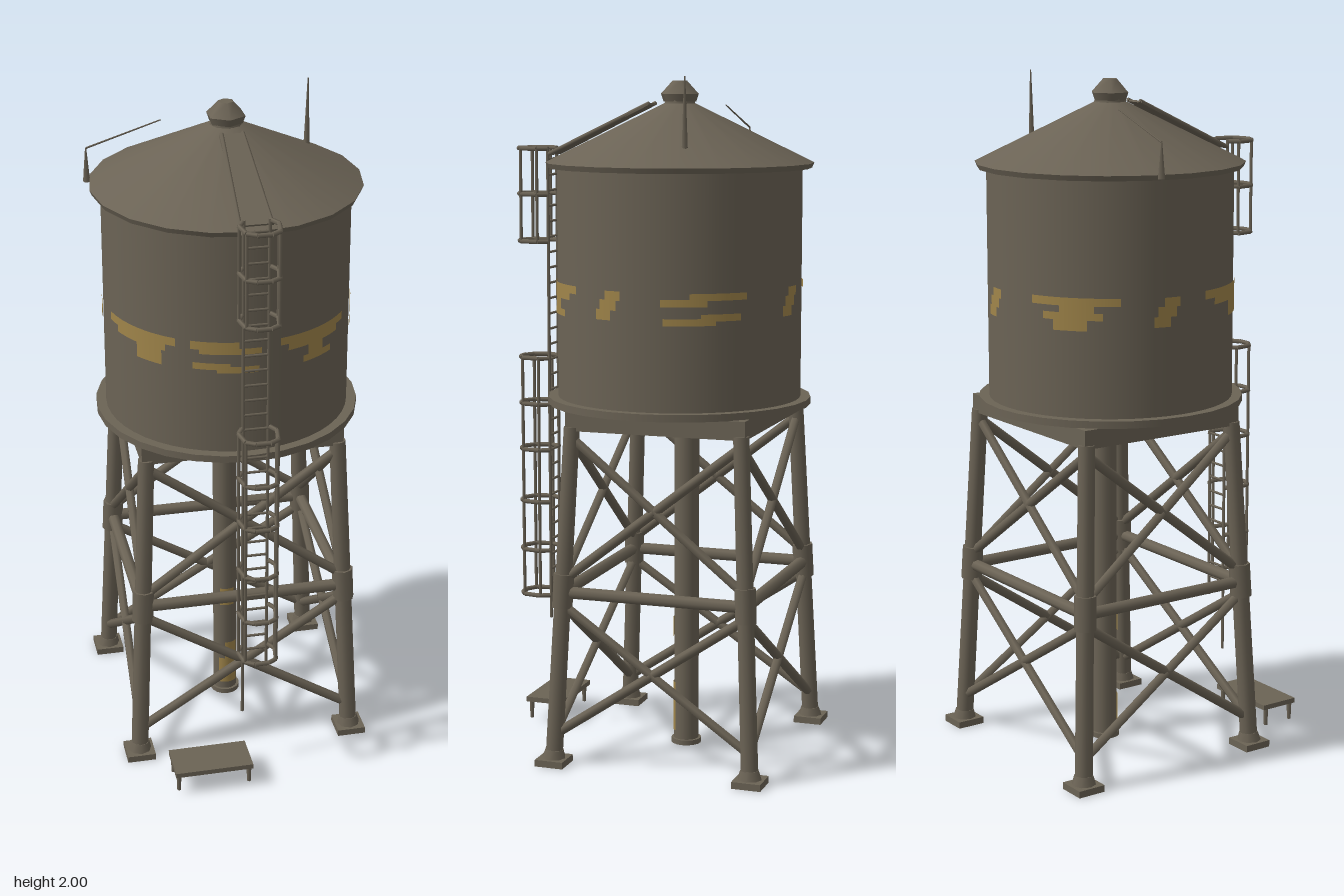
import * as THREE from 'three';

const steel = new THREE.MeshStandardMaterial({ color: 0x6b6355, side: THREE.DoubleSide });
steel.name = 'weathered steel';
const paint = new THREE.MeshStandardMaterial({ color: 0xa0854a, side: THREE.DoubleSide });
paint.name = 'faded yellow paint';

const TANK_Z = -0.063, TOWER_Z = -0.087;
const V = (x, y, z) => new THREE.Vector3(x, y, z);

function add(parent, name, geo, mat = steel, x = 0, y = 0, z = 0) {
  const m = new THREE.Mesh(geo, mat);
  m.name = name;
  m.position.set(x, y, z);
  parent.add(m);
  return m;
}

function group(parent, name) {
  const g = new THREE.Group();
  g.name = name;
  parent.add(g);
  return g;
}

// Round bar between two points, r1 at a and r2 at b
function bar(parent, name, a, b, r1, r2 = r1, sides = 8) {
  const d = b.clone().sub(a);
  const m = add(parent, name, new THREE.CylinderGeometry(r2, r1, d.length(), sides));
  m.position.copy(a).addScaledVector(d, 0.5);
  m.quaternion.setFromUnitVectors(V(0, 1, 0), d.normalize());
  return m;
}

// Centre line of a leg at height y
const leg = (sx, sz, y) => V(sx * (0.331 - 0.046 * y), y, TOWER_Z + sz * (0.301 - 0.046 * y));

function buildTank(root) {
  const g = group(root, 'tank');
  g.position.z = TANK_Z;
  const ring = (name, rTop, rBottom, y0, y1, sides, open = false) =>
    add(g, name, new THREE.CylinderGeometry(rTop, rBottom, y1 - y0, sides, 1, open), steel, 0, (y0 + y1) / 2, 0);
  ring('tankWall', 0.358, 0.358, 1.06, 1.76, 48, true);
  ring('tankRim', 0.388, 0.388, 1.045, 1.066, 28);
  ring('roofEave', 0.392, 0.386, 1.735, 1.75, 20);
  ring('roof', 0.045, 0.392, 1.75, 1.92, 20, true);
  ring('ventNeck', 0.043, 0.05, 1.9, 1.94, 8);
  ring('ventHood', 0.058, 0.05, 1.925, 1.947, 6);
  ring('ventTop', 0.022, 0.058, 1.947, 1.985, 6);

  // Worn paint: [start angle, end angle, bottom, top], degrees from the front
  const marks = [
    [-28, -6, 1.385, 1.41], [-24, 4, 1.372, 1.39], [-27, -10, 1.325, 1.345], [-16, 3, 1.315, 1.335],
    [13, 54, 1.385, 1.408], [17, 48, 1.365, 1.386], [28, 37, 1.325, 1.366], [25, 43, 1.315, 1.335],
    [100, 121, 1.365, 1.386], [113, 140, 1.382, 1.402], [101, 125, 1.312, 1.332], [118, 137, 1.324, 1.344],
    [198, 240, 1.385, 1.408], [204, 232, 1.345, 1.366], [212, 228, 1.36, 1.388], [209, 225, 1.315, 1.346],
    [283, 325, 1.385, 1.41], [290, 320, 1.365, 1.386], [304, 318, 1.32, 1.366],
  ];
  for (const c of [74, 169, 261])
    marks.push([c - 6, c + 2, 1.322, 1.352], [c - 4, c + 5, 1.35, 1.38], [c - 1, c + 7, 1.378, 1.405]);
  const p = group(g, 'wallPaint');
  for (const [a, b, y0, y1] of marks) {
    const rad = Math.PI / 180;
    add(p, 'paintMark', new THREE.CylinderGeometry(0.362, 0.362, y1 - y0, 8, 1, true, a * rad, (b - a) * rad),
      paint, 0, (y0 + y1) / 2, 0);
  }
}

function buildTower(root) {
  const g = group(root, 'tower');
  add(g, 'topFrame', new THREE.BoxGeometry(0.6, 0.055, 0.54), steel, 0, 1.018, TOWER_Z);
  const corners = [[1, 1], [1, -1], [-1, -1], [-1, 1]];
  corners.forEach(([sx, sz], i) => {
    const base = leg(sx, sz, 0);
    add(g, 'foot', new THREE.BoxGeometry(0.086, 0.02, 0.086), steel, base.x, 0.01, base.z);
    bar(g, 'footCollar', leg(sx, sz, 0.018), leg(sx, sz, 0.045), 0.036, 0.028);
    bar(g, 'leg', leg(sx, sz, 0.02), leg(sx, sz, 1.0), 0.026, 0.024, 10);
    bar(g, 'legJoint', leg(sx, sz, 0.47), leg(sx, sz, 0.57), 0.032);
    // Girt and crossed braces to the next leg
    const [tx, tz] = corners[(i + 1) % 4];
    bar(g, 'girt', leg(sx, sz, 0.515), leg(tx, tz, 0.515), 0.018);
    for (const [lo, hi] of [[0.09, 0.48], [0.55, 0.97]]) {
      bar(g, 'brace', leg(sx, sz, lo), leg(tx, tz, hi), 0.014, 0.014, 6);
      bar(g, 'brace', leg(sx, sz, hi), leg(tx, tz, lo), 0.014, 0.014, 6);
    }
  });

  // Central riser pipe
  bar(g, 'riserPipe', V(0, 0, TOWER_Z), V(0, 1, TOWER_Z), 0.037, 0.037, 16);
  bar(g, 'riserCollar', V(0, 0.97, TOWER_Z), V(0, 0.995, TOWER_Z), 0.05, 0.05, 16);
  bar(g, 'riserBase', V(0, 0, TOWER_Z), V(0, 0.015, TOWER_Z), 0.045, 0.045, 16);
  for (const [a, b, y0, y1] of [[-0.7, 0.9, 0.04, 0.13], [-0.2, 0.9, 0.13, 0.19], [-0.6, 0.6, 0.33, 0.39]])
    add(g, 'riserPaint', new THREE.CylinderGeometry(0.039, 0.039, y1 - y0, 8, 1, true, a, b - a),
      paint, 0, (y0 + y1) / 2, TOWER_Z);
}

function buildLadder(root) {
  const g = group(root, 'ladder');
  const z = 0.337;
  for (const s of [-1, 1]) {
    bar(g, 'ladderRail', V(s * 0.036, s < 0 ? 0.2 : 0.36, z), V(s * 0.036, 1.79, z), 0.005, 0.005, 5);
    bar(g, 'roofRail', V(s * 0.045, 1.77, 0.33), V(s * 0.03, 1.92, 0.02), 0.006, 0.006, 5);
    for (const y of [1.055, 1.745])
      bar(g, 'ladderBracket', V(s * 0.036, y, z), V(s * 0.036, y, 0.28), 0.007, 0.007, 5);
  }
  for (let y = 0.42; y < 1.79; y += 0.046)
    bar(g, 'rung', V(-0.036, y, z), V(0.036, y, z), 0.004, 0.004, 5);

  // Thin walkway sheet lying up the roof
  const walk = add(g, 'roofWalkway', new THREE.BoxGeometry(0.075, 0.006, 0.34), steel, 0, 1.843, 0.175);
  walk.rotation.x = Math.atan2(0.15, 0.31);

  // Safety cages: hoops joined by upright bars
  const hoop = [[-0.04, 0.337], [-0.055, 0.365], [-0.046, 0.42], [-0.02, 0.436],
    [0.02, 0.436], [0.046, 0.42], [0.055, 0.365], [0.04, 0.337]];
  for (const levels of [[0.43, 0.57, 0.72, 0.88, 1.02, 1.16], [1.51, 1.65, 1.785]]) {
    const cage = group(g, 'safetyCage');
    for (const y of levels)
      for (let i = 0; i < hoop.length - 1; i++)
        bar(cage, 'hoop', V(hoop[i][0], y, hoop[i][1]), V(hoop[i + 1][0], y, hoop[i + 1][1]), 0.007, 0.007, 5);
    for (const i of [1, 2, 5, 6])
      bar(cage, 'cageBar', V(hoop[i][0], levels[0], hoop[i][1]),
        V(hoop[i][0], levels[levels.length - 1], hoop[i][1]), 0.005, 0.005, 5);
  }
}

function buildRoofFittings(root) {
  const g = group(root, 'roofFittings');
  bar(g, 'tallSpike', V(0.26, 1.8, -0.165), V(0.262, 2.0, -0.165), 0.009, 0.002, 6);
  bar(g, 'shortSpike', V(-0.385, 1.74, -0.16), V(-0.385, 1.84, -0.16), 0.011, 0.002, 6);
  bar(g, 'looseWire', V(-0.385, 1.84, -0.16), V(-0.17, 1.912, -0.15), 0.003, 0.002, 5);
}

function buildBench(root) {
  const g = group(root, 'bench');
  add(g, 'benchTop', new THREE.BoxGeometry(0.235, 0.015, 0.122), steel, -0.143, 0.072, 0.387);
  for (const x of [-0.25, -0.036])
    for (const z of [0.342, 0.434])
      bar(g, 'benchLeg', V(x, 0.012, z), V(x, 0.07, z), 0.006, 0.008, 6);
}

export function createModel() {
  const root = new THREE.Group();
  root.name = 'waterTower';
  buildTank(root);
  buildTower(root);
  buildLadder(root);
  buildRoofFittings(root);
  buildBench(root);
  return root;
}
